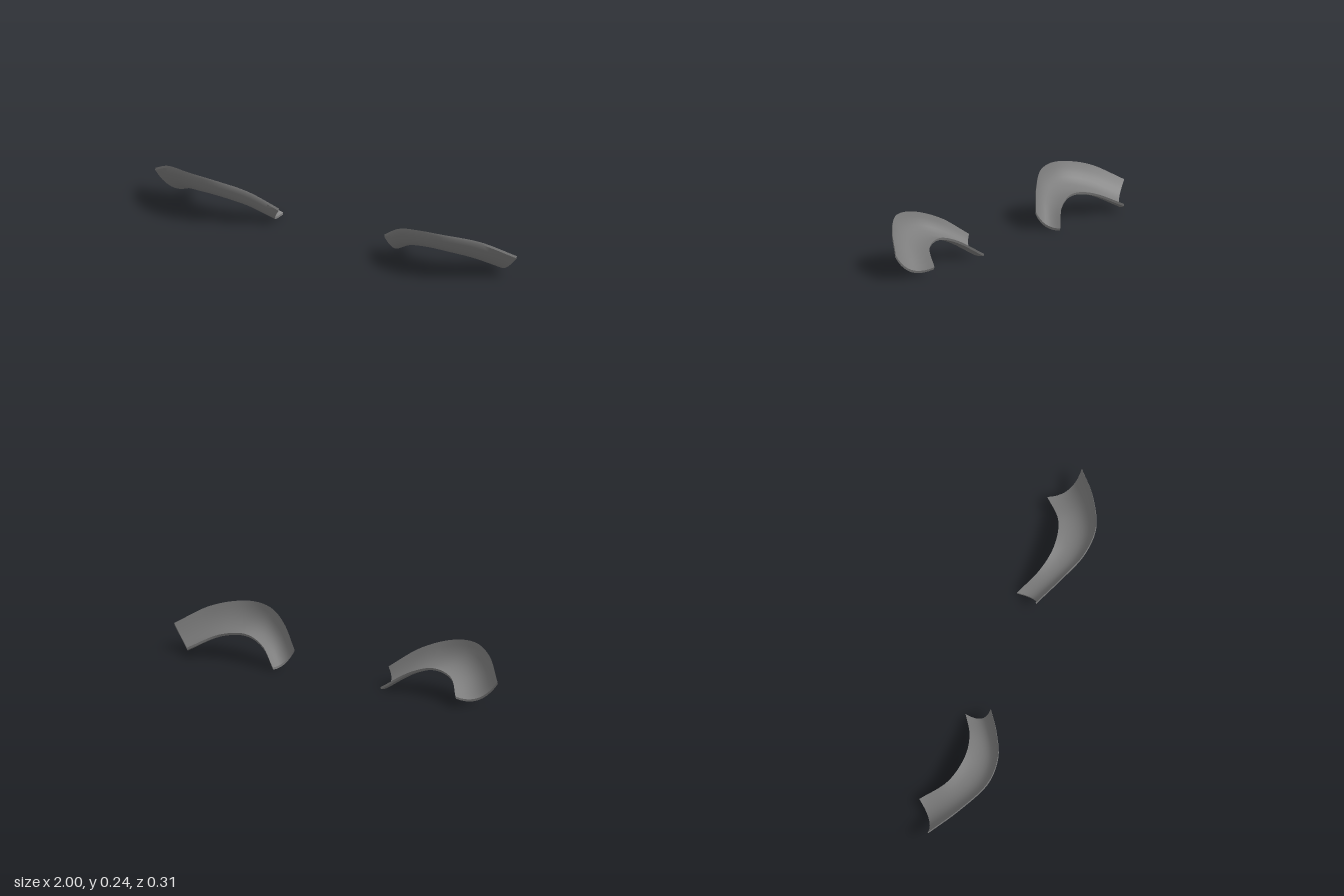
import * as THREE from 'three';
import { toCreasedNormals } from 'three/addons/utils/BufferGeometryUtils.js';

const curve = (pts) => new THREE.CatmullRomCurve3(pts.map((p) => new THREE.Vector3(...p)));

// Guide curves of one arched trough: its two rims and the depth between them
const outerRim = curve([[0.292, 0.09, -0.002], [0.42, 0.183, 0.078], [0.56, 0.233, 0.141], [0.7, 0.243, 0.145], [0.86, 0.21, 0.066], [0.999, 0.123, -0.045]]);
const innerRim = curve([[0.333, 0.013, -0.115], [0.457, 0.092, -0.045], [0.58, 0.126, -0.022], [0.715, 0.108, -0.053], [0.83, 0.046, -0.156]]);
const bulge = curve([[0.018, -0.027, 0.025], [0.004, -0.039, 0.03], [-0.008, -0.048, 0.025]]);

// The lower skin is the upper one dropped by the shell thickness
const DROP = new THREE.Vector3(0, -0.011, 0.003);
const ALONG = 28, ACROSS = 10;

// Point on the upper, concave skin: t runs along the arch, s from outer to inner rim
function skin(t, s) {
  const depth = 1 - (2 * s - 1) ** 2;
  return outerRim.getPoint(t).lerp(innerRim.getPoint(t), s).addScaledVector(bulge.getPoint(t), depth);
}

// Closed shell from cross-section loops, mirrored for side = -1
function shellGeometry(side) {
  const pos = [], idx = [], ring = 2 * (ACROSS + 1);
  for (let i = 0; i <= ALONG; i++) {
    const t = i / ALONG;
    for (let j = 0; j < ring; j++) {
      const p = j <= ACROSS ? skin(t, j / ACROSS) : skin(t, (ring - 1 - j) / ACROSS).add(DROP);
      pos.push(p.x * side, p.y, p.z);
    }
  }
  const tri = (a, b, c) => (side > 0 ? idx.push(a, b, c) : idx.push(a, c, b));
  for (let i = 0; i < ALONG; i++) {
    for (let j = 0; j < ring; j++) {
      const a = i * ring + j, c = i * ring + ((j + 1) % ring);
      tri(a, a + ring, c);
      tri(c, a + ring, c + ring);
    }
  }
  // End faces
  const last = ALONG * ring;
  for (let j = 0; j < ACROSS; j++) {
    const u = j, v = j + 1, lu = ring - 1 - j, lv = ring - 2 - j;
    tri(u, v, lu);
    tri(v, lv, lu);
    tri(last + u, last + lu, last + v);
    tri(last + v, last + lu, last + lv);
  }
  const g = new THREE.BufferGeometry();
  g.setAttribute('position', new THREE.Float32BufferAttribute(pos, 3));
  g.setIndex(idx);
  return toCreasedNormals(g, 0.6);
}

export function createModel() {
  const group = new THREE.Group();
  const material = new THREE.MeshStandardMaterial({ color: 0x7c7c7c });
  for (const [name, side] of [['leftArchedTrough', 1], ['rightArchedTrough', -1]]) {
    const mesh = new THREE.Mesh(shellGeometry(side), material);
    mesh.name = name;
    group.add(mesh);
  }
  return group;
}
